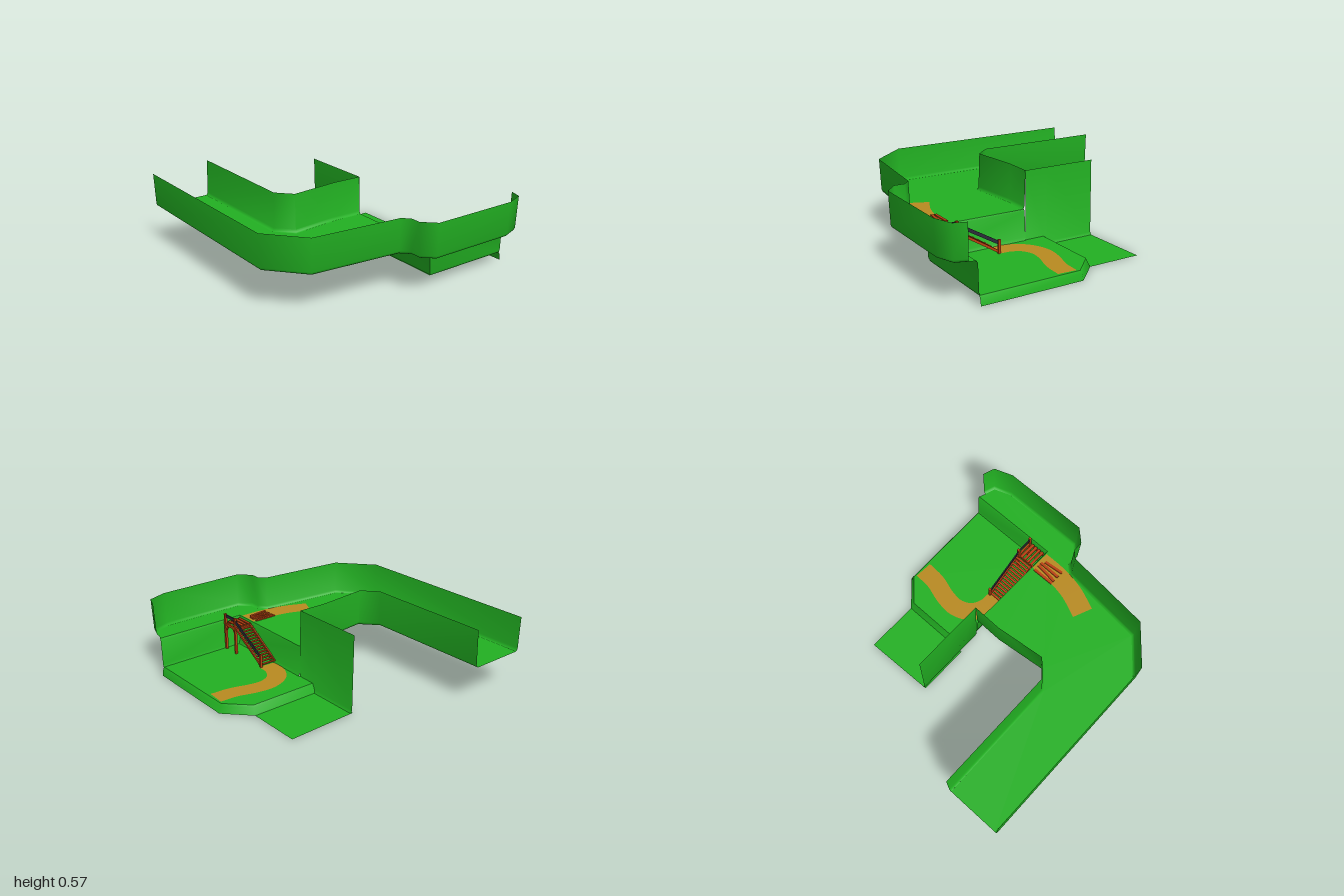
import * as THREE from 'three';
import { toCreasedNormals } from 'three/addons/utils/BufferGeometryUtils.js';

const mat = (color) => new THREE.MeshStandardMaterial({ color, side: THREE.DoubleSide });
const UPPER = 0.29, LOWER = 0.065;

// Shift an [x, z] polyline sideways with mitred corners
function offset(line, d) {
  const normal = (a, b) => new THREE.Vector2(b[1] - a[1], a[0] - b[0]).normalize();
  return line.map((p, i) => {
    const n0 = normal(line[Math.max(i - 1, 0)], line[Math.max(i, 1)]);
    const j = Math.min(i, line.length - 2);
    const n1 = normal(line[j], line[j + 1]);
    const n = n0.clone().add(n1).normalize();
    const k = d / n.dot(n1);
    return [p[0] + n.x * k, p[1] + n.y * k];
  });
}

// Surface through rows of equal length, each { y, line }
function loft(rows, crease = 0.95) {
  const pos = [], index = [], n = rows[0].line.length;
  rows.forEach(({ y, line }) => line.forEach(([x, z]) => pos.push(x, y, z)));
  for (let r = 0; r < rows.length - 1; r++) {
    for (let i = 0; i < n - 1; i++) {
      const a = r * n + i, b = a + 1, c = a + n, d = c + 1;
      index.push(a, b, d, a, d, c);
    }
  }
  const g = new THREE.BufferGeometry();
  g.setAttribute('position', new THREE.Float32BufferAttribute(pos, 3));
  g.setIndex(index);
  return toCreasedNormals(g, crease);
}

// Flat floor from an [x, z] outline, facing up
function floor(outline, y) {
  const g = new THREE.ShapeGeometry(new THREE.Shape(outline.map(([x, z]) => new THREE.Vector2(x, -z))));
  return g.rotateX(-Math.PI / 2).translate(0, y, 0);
}

// Flat ribbon following a smooth centre line
function ribbon(points, width, y) {
  const curve = new THREE.CatmullRomCurve3(points.map(([x, z]) => new THREE.Vector3(x, 0, z)));
  const line = curve.getPoints(32).map((p) => [p.x, p.z]);
  return loft([{ y, line: offset(line, width / 2) }, { y, line: offset(line, -width / 2) }]);
}

// Square beam between two points
function beam(a, b, w, h = w) {
  const from = new THREE.Vector3(...a), to = new THREE.Vector3(...b);
  const g = new THREE.BoxGeometry(w, h, from.distanceTo(to));
  const m = new THREE.Matrix4().lookAt(to, from, Math.abs(to.x - from.x) + Math.abs(to.z - from.z) < 1e-4
    ? new THREE.Vector3(0, 0, 1) : new THREE.Vector3(0, 1, 0));
  m.setPosition(from.add(to).multiplyScalar(0.5));
  return g.applyMatrix4(m);
}

export function createModel() {
  const model = new THREE.Group();
  const grass = mat(0x22b022), dirt = mat(0xb88a20), wood = mat(0xb84010), dark = mat(0x2a2a38);
  const add = (name, geometry, material, parent = model) => {
    const mesh = new THREE.Mesh(geometry, material);
    mesh.name = name;
    parent.add(mesh);
    return mesh;
  };

  // Raised walls with a small fillet at the foot
  const outer = [[-0.92, -1], [-0.92, 0.47], [-0.7, 0.725], [-0.05, 0.79], [0, 0.84],
    [0, 0.915], [0.09, 1], [0.74, 1], [0.88, 0.95], [0.91, 0.86]];
  const inner = [[-0.47, -1], [-0.47, -0.05], [-0.37, 0.06], [0, 0.02], [0.215, 0.025]];
  const wall = (line, side, top) => loft([
    { y: UPPER, line: offset(line, 0.024 * side) },
    { y: UPPER + 0.006, line: offset(line, 0.014 * side) },
    { y: UPPER + 0.022, line: offset(line, 0.008 * side) },
    { y: top, line },
  ]);
  add('outerWall', wall(outer, 1, 0.545), grass);
  add('innerWall', wall(inner, -1, 0.57), grass);

  // Upper floor with its front shelf
  add('upperFloor', floor([
    ...offset(outer, 0.024), [0.905, 0.805], [0.205, 0.805],
    ...offset(inner, -0.024).reverse(),
  ], UPPER), grass);

  // Cliff between the two levels
  const step = (x, z) => [[x, 0.03], [x, z], [0.907, z]];
  add('cliff', loft([
    { y: UPPER, line: step(0.205, 0.805) },
    { y: UPPER - 0.015, line: step(0.213, 0.797) },
    { y: LOWER + 0.02, line: step(0.226, 0.792) },
    { y: LOWER, line: step(0.238, 0.785) },
  ]), grass);

  // Tall side wall reaching down to the ground
  const side = (x) => [[x, -0.54], [x, -0.15], [x, 0.028]];
  add('sideWall', loft([
    { y: 0, line: side(0.24) },
    { y: 0.02, line: side(0.227) },
    { y: 0.57, line: side(0.216) },
  ]), grass);

  // Lower terrace, its sloping bank and the ground behind
  const rim = [[0.23, -0.12], [0.74, -0.12], [0.895, 0.04], [0.902, 0.788]];
  const foot = [[0.23, -0.15], [0.75, -0.15], [0.92, 0.03], [0.92, 0.788]];
  add('lowerFloor', floor([...rim, [0.23, 0.788]], LOWER), grass);
  add('bank', loft([
    { y: LOWER, line: rim },
    { y: LOWER - 0.015, line: rim.map(([x, z], i) => [x + (i > 1 ? 0.009 : 0), z - (i < 3 ? 0.008 : 0)]) },
    { y: 0, line: foot },
  ]), grass);
  add('groundFloor', floor([[0.22, -0.54], [0.75, -0.555], [0.75, -0.15], [0.22, -0.15]], 0), grass);

  // Dirt paths
  add('lowerPath', ribbon([[0.3, 0.33], [0.31, 0.22], [0.37, 0.12], [0.48, 0.07], [0.6, 0.08],
    [0.74, 0.12], [0.88, 0.13]], 0.14, LOWER + 0.002), dirt);
  add('upperPath', ribbon([[0.2, 0.705], [0.02, 0.7], [-0.14, 0.67], [-0.31, 0.6]], 0.155, UPPER + 0.002), dirt);

  // Loose planks on the upper path
  [[0.625, 0.625], [0.65, 0.672], [0.694, 0.698], [0.74, 0.725]].forEach(([z0, z1], i) => {
    const y = UPPER + 0.006;
    add('plank', beam([0.01, y, z0], [i === 3 ? 0.16 : 0.18, y, z1], 0.02, 0.008), wood);
  });

  // Wooden stairs
  const stairs = new THREE.Group();
  stairs.name = 'stairs';
  model.add(stairs);
  const top = 0.275, x0 = 0.22, x1 = 0.355;
  const steps = 14;
  for (let i = 0; i < steps; i++) {
    const t = (i + 0.5) / steps;
    const y = THREE.MathUtils.lerp(LOWER + 0.008, top - 0.008, t), z = THREE.MathUtils.lerp(0.325, 0.635, t);
    add('tread', beam([0.205, y, z], [x1, y, z], 0.018, 0.007), wood, stairs);
  }
  for (const x of [x0 + 0.008, x1]) {
    add('stringer', beam([x, LOWER + 0.01, 0.325], [x, top - 0.005, 0.64], 0.01, 0.018), wood, stairs);
  }
  // Landing
  for (let i = 0; i < 4; i++) {
    const x = 0.232 + i * 0.031;
    add('landingSlat', beam([x, top + 0.004, 0.64], [x, top + 0.004, 0.78], 0.021, 0.008), wood, stairs);
  }
  for (const z of [0.645, 0.77]) {
    add('landingBeam', beam([0.205, top - 0.01, z], [x1, top - 0.01, z], 0.014), wood, stairs);
  }
  add('landingSideBeam', beam([x1, top - 0.008, 0.645], [x1, top - 0.008, 0.775], 0.014, 0.02), wood, stairs);
  // Posts, braces and handrails
  for (const [z, bottom, head] of [[0.773, LOWER, 0.352], [0.645, LOWER, 0.352], [0.325, 0.035, 0.165]]) {
    add('post', beam([x1 + 0.003, bottom, z], [x1 + 0.003, head, z], 0.018), wood, stairs);
  }
  for (const [z, dz] of [[0.77, -0.04], [0.648, 0.04]]) {
    add('brace', beam([x1, top - 0.052, z], [x1, top - 0.012, z + dz], 0.01), wood, stairs);
  }
  add('landingRail', beam([x1, 0.335, 0.773], [x1, 0.335, 0.645], 0.008, 0.024), dark, stairs);
  add('stairRail', beam([x1, 0.325, 0.645], [x1, 0.14, 0.325], 0.008, 0.024), dark, stairs);

  return model;
}
